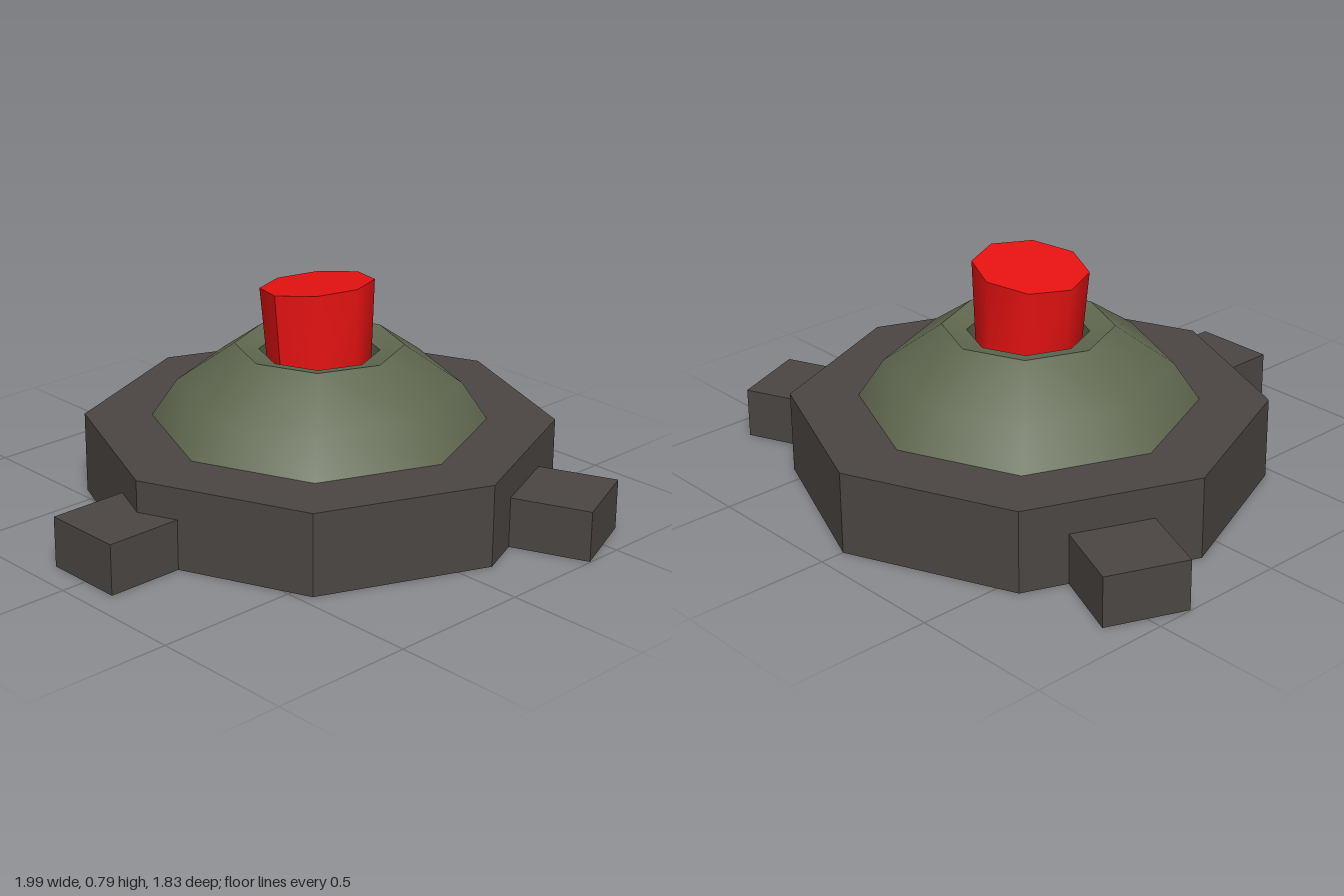
import * as THREE from 'three';

export function createModel() {
  const model = new THREE.Group();
  const body = new THREE.Group();
  body.name = 'buttonUnit';
  body.position.z = -0.11;
  model.add(body);

  const dark = new THREE.MeshStandardMaterial({ color: 0x4b4643, flatShading: true });
  const green = new THREE.MeshStandardMaterial({ color: 0x606850 });
  const red = new THREE.MeshStandardMaterial({ color: 0xe81212 });
  const SIDES = 8;

  const add = (name, geometry, material, parent = body) => {
    const mesh = new THREE.Mesh(geometry, material);
    mesh.name = name;
    parent.add(mesh);
    return mesh;
  };
  const lathe = (points) =>
    new THREE.LatheGeometry(points.map(([r, y]) => new THREE.Vector2(r, y)), SIDES);

  // Octagonal base plate
  const plate = new THREE.CylinderGeometry(0.805, 0.805, 0.285, SIDES);
  add('basePlate', plate.translate(0, 0.1425, 0), dark);

  // Three mounting feet around the plate
  ['frontFoot', 'leftFoot', 'rightFoot'].forEach((name, i) => {
    const foot = new THREE.BoxGeometry(0.288, 0.175, 0.4);
    foot.translate(i === 0 ? -0.01 : 0, 0.0875, 0.82);
    add(name, foot, dark).rotation.y = THREE.MathUtils.degToRad([0, 112.5, -112.5][i]);
  });

  // Faceted dome with a shallow dished rim and a socket for the button
  add('dome', lathe([[0.573, 0.285], [0.485, 0.415], [0.288, 0.55]]), green);
  add('domeRim', lathe([[0.288, 0.55], [0.205, 0.53]]), green);
  add('socketWall', lathe([[0.205, 0.53], [0.205, 0.46]]), green);
  add('socketFloor', lathe([[0.205, 0.46], [0, 0.46]]), green);

  // Button widens upward; its top slants up toward +x
  const button = new THREE.CylinderGeometry(0.193, 0.175, 0.3, SIDES);
  const pos = button.attributes.position;
  for (let i = 0; i < pos.count; i++) {
    const top = pos.getY(i) > 0;
    const x = pos.getX(i) - (top ? 0.0125 : 0);
    pos.setX(i, x);
    pos.setY(i, top ? 0.762 + 0.13 * x : 0.46);
  }
  button.computeVertexNormals();
  add('button', button, red);

  return model;
}
